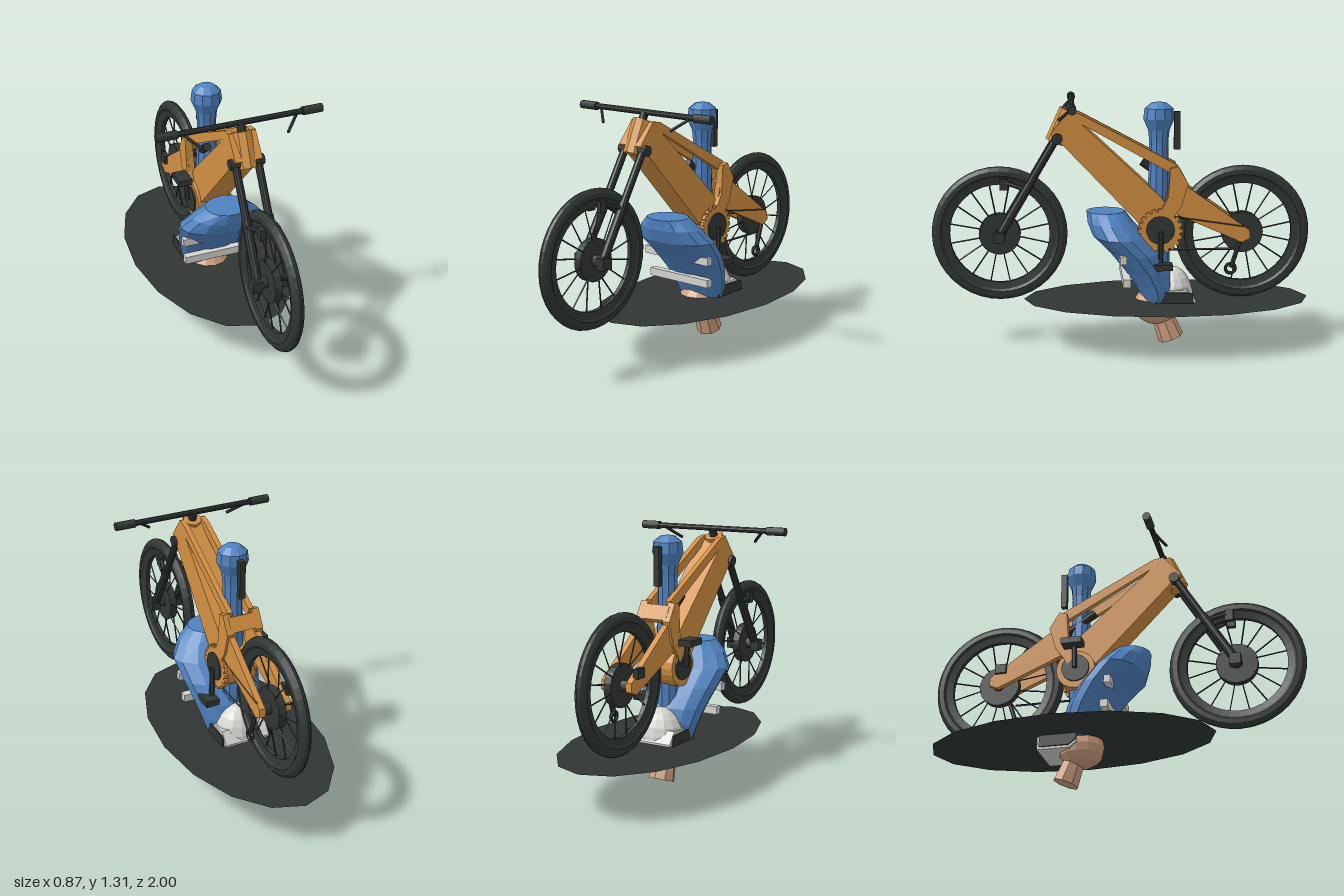
import * as THREE from 'three';

const V = (x, y, z) => new THREE.Vector3(x, y, z);
const paint = (name, color, side = THREE.FrontSide) => {
  const m = new THREE.MeshStandardMaterial({ color, side });
  m.name = name;
  return m;
};

export function createModel() {
  const root = new THREE.Group();
  const orange = paint('frame orange', 0xd18f42), blue = paint('suit blue', 0x4f82c0);
  const dark = paint('dark rubber', 0x303634), shade = paint('ground dark', 0x303634, THREE.DoubleSide);
  const white = paint('light grey', 0xd4d4d0), skin = paint('skin', 0xcb9c7d);

  // Faceted mesh
  const add = (name, geo, mat, parent = root) => {
    const g = geo.index ? geo.toNonIndexed() : geo;
    g.computeVertexNormals();
    const m = new THREE.Mesh(g, mat);
    m.name = name;
    parent.add(m);
    return m;
  };
  const box = (name, w, h, d, p, mat, rx = 0, parent = root) => {
    const m = add(name, new THREE.BoxGeometry(w, h, d), mat, parent);
    m.position.copy(p);
    m.rotation.x = rx;
    return m;
  };
  // Cylinder between two points
  const rod = (name, a, b, r0, mat, seg = 10, r1 = r0, parent = root) => {
    const m = add(name, new THREE.CylinderGeometry(r1, r0, a.distanceTo(b), seg), mat, parent);
    m.position.copy(a).lerp(b, 0.5);
    m.quaternion.setFromUnitVectors(V(0, 1, 0), b.clone().sub(a).normalize());
    return m;
  };
  // Side outline of (z, y) points, extruded across x
  const plate = (name, pts, x, w, mat) => {
    const shape = new THREE.Shape(pts.map(p => new THREE.Vector2(p[0], p[1])));
    const g = new THREE.ExtrudeGeometry(shape, { depth: w, bevelEnabled: false });
    g.translate(0, 0, -w / 2).rotateY(-Math.PI / 2).translate(x, 0, 0);
    return add(name, g, mat);
  };
  // Closed loft from rows of [y, half width, back z, front z]
  const loft = (name, rows, n, mat) => {
    const pos = [], idx = [];
    for (const [y, rx, z0, z1] of rows)
      for (let j = 0; j < n; j++) {
        const t = (j / n) * Math.PI * 2;
        pos.push(rx * Math.cos(t), y, (z0 + z1) / 2 + (z1 - z0) / 2 * Math.sin(t));
      }
    const top = (rows.length - 1) * n;
    for (let j = 0; j < n; j++) {
      const k = (j + 1) % n;
      for (let i = 0; i < top; i += n) idx.push(i + j, i + n + j, i + k, i + k, i + n + j, i + n + k);
      if (j > 0 && j < n - 1) idx.push(0, j, k, top, top + k, top + j);
    }
    const g = new THREE.BufferGeometry();
    g.setAttribute('position', new THREE.Float32BufferAttribute(pos, 3));
    g.setIndex(idx);
    return add(name, g, mat);
  };

  // Ground disc
  const disc = add('groundDisc', new THREE.CircleGeometry(1, 16).rotateX(-Math.PI / 2), shade);
  disc.scale.set(0.41, 1, 0.76);
  disc.position.set(0, 0.24, -0.24);

  // Wheels: tyre with deep rim, hub and spokes
  const section = [[0.262, -0.012], [0.298, -0.02], [0.31, -0.029], [0.335, -0.027], [0.352, -0.014], [0.357, 0],
    [0.352, 0.014], [0.335, 0.027], [0.31, 0.029], [0.298, 0.02], [0.262, 0.012], [0.262, -0.012]];
  for (const [name, z] of [['frontWheel', 0.642], ['rearWheel', -0.642]]) {
    const w = new THREE.Group();
    w.name = name;
    w.position.set(0, 0.597, z);
    root.add(w);
    const tyre = new THREE.LatheGeometry(section.map(p => new THREE.Vector2(p[0], p[1])), 40);
    add('tyre', tyre.rotateZ(Math.PI / 2), dark, w);
    rod('hubFlange', V(-0.02, 0, 0), V(0.02, 0, 0), 0.11, dark, 24, 0.11, w);
    rod('axle', V(-0.085, 0, 0), V(0.085, 0, 0), 0.03, dark, 12, 0.03, w);
    for (let i = 0; i < 16; i++) {
      const a = i * Math.PI / 8 + 0.2, s = i % 2 ? 1 : -1;
      rod('spoke', V(s * 0.018, 0.1 * Math.sin(a), 0.1 * Math.cos(a)),
        V(0, 0.27 * Math.sin(a), 0.27 * Math.cos(a)), 0.004, dark, 4, 0.004, w);
    }
  }

  // Fork, handlebar and rider controls
  rod('forkCrown', V(-0.09, 1.105, 0.335), V(0.09, 1.105, 0.335), 0.028, dark, 12);
  rod('stem', V(0, 1.1, 0.335), V(0, 1.28, 0.26), 0.022, dark);
  rod('handlebar', V(-0.43, 1.285, 0.26), V(0.43, 1.285, 0.26), 0.015, dark);
  for (const s of [-1, 1]) {
    rod('forkUpper', V(s * 0.06, 1.12, 0.33), V(s * 0.06, 0.85, 0.49), 0.02, dark);
    rod('forkLower', V(s * 0.06, 0.87, 0.478), V(s * 0.065, 0.595, 0.642), 0.024, dark);
    box('dropout', 0.05, 0.06, 0.06, V(s * 0.075, 0.59, 0.642), dark);
    rod('brakeArm', V(s * 0.065, 0.84, 0.5), V(s * 0.04, 0.875, 0.61), 0.012, dark, 6);
    box('brakePad', 0.025, 0.06, 0.045, V(s * 0.04, 0.865, 0.615), dark);
    rod('grip', V(s * 0.33, 1.285, 0.26), V(s * 0.437, 1.285, 0.26), 0.022, dark, 12);
    rod('brakeLever', V(s * 0.295, 1.275, 0.265), V(s * 0.225, 1.218, 0.325), 0.008, dark, 6);
  }

  // Frame
  plate('mainBeam', [[0.37, 1.13], [0.275, 1.245], [0.23, 1.2], [-0.2, 0.8], [-0.26, 0.72], [-0.24, 0.56],
    [-0.15, 0.55], [-0.11, 0.635], [0.315, 1.08]], 0, 0.144, orange);
  rod('headTube', V(0, 1.08, 0.35), V(0, 1.245, 0.275), 0.05, orange, 8);
  for (const s of [-1, 1]) {
    plate('topRail', [[0.28, 1.245], [0.22, 1.235], [-0.29, 0.965], [-0.28, 0.92], [-0.24, 0.93], [0.21, 1.18]],
      s * 0.058, 0.028, orange);
    plate('rockerLink', [[-0.25, 0.95], [-0.29, 0.96], [-0.345, 0.87], [-0.31, 0.75], [-0.24, 0.65], [-0.19, 0.7], [-0.24, 0.8]],
      s * 0.08, 0.04, orange);
    plate('swingArm', [[-0.25, 0.88], [-0.33, 0.86], [-0.67, 0.62], [-0.675, 0.575], [-0.63, 0.555], [-0.22, 0.735]],
      s * 0.072, 0.032, orange);
  }
  box('frameBridge', 0.15, 0.08, 0.05, V(0, 0.9, -0.3), orange, 0.5);
  rod('shock', V(-0.03, 0.97, -0.11), V(-0.03, 0.85, -0.28), 0.022, dark);

  // Chainring guard with teeth, cranks, pedals, chain and derailleur
  rod('crankHousing', V(-0.09, 0.62, -0.2), V(0.1, 0.62, -0.2), 0.105, orange, 20);
  for (let i = 0; i < 20; i++) {
    const a = i * Math.PI / 10;
    box('tooth', 0.02, 0.022, 0.022, V(0.09, 0.62 + 0.107 * Math.sin(a), -0.2 + 0.107 * Math.cos(a)), orange, -a);
  }
  rod('chainring', V(-0.1, 0.625, -0.2), V(0.108, 0.625, -0.2), 0.075, dark, 20);
  for (const s of [-1, 1]) {
    const y = s > 0 ? 0.44 : 0.752;
    rod('crankArm', V(s * 0.112, 0.62, -0.2), V(s * 0.118, y, -0.2), 0.014, dark, 6);
    box('pedal', 0.075, 0.033, 0.11, V(s * 0.138, y, -0.205), dark);
  }
  rod('chainLower', V(0.085, 0.52, -0.24), V(0.085, 0.52, -0.58), 0.006, dark, 4);
  rod('chainUpper', V(0.085, 0.7, -0.24), V(0.085, 0.64, -0.64), 0.006, dark, 4);
  rod('derailleurArm', V(0.085, 0.56, -0.62), V(0.085, 0.42, -0.575), 0.012, dark, 6);
  const pulley = add('derailleurPulley', new THREE.TorusGeometry(0.026, 0.009, 6, 14).rotateY(Math.PI / 2), dark);
  pulley.position.set(0.085, 0.415, -0.572);
  box('rearBrake', 0.03, 0.05, 0.06, V(-0.09, 0.66, -0.61), dark);

  // Torso with its two crossbars
  loft('torso', [[0.235, 0.14, -0.27, -0.12], [0.32, 0.163, -0.28, -0.07], [0.4, 0.185, -0.26, -0.015],
    [0.5, 0.215, -0.2, 0.065], [0.59, 0.233, -0.12, 0.155], [0.66, 0.18, -0.06, 0.182], [0.715, 0.115, -0.02, 0.187]], 14, blue);
  box('lowerCrossbar', 0.4, 0.042, 0.04, V(0, 0.364, -0.02), white);
  box('upperCrossbar', 0.435, 0.042, 0.036, V(0, 0.49, 0), white);

  // Raised limb and the slim bar behind it
  const limb = [[0, 0.4], [0.06, 0.4], [0.062, 0.7], [0.052, 0.95], [0.05, 1.08], [0.056, 1.14], [0.082, 1.2],
    [0.075, 1.255], [0.04, 1.283], [0, 1.29]].map(p => new THREE.Vector2(p[0], p[1]));
  add('raisedLimb', new THREE.LatheGeometry(limb, 10), blue).position.z = -0.196;
  box('slimBar', 0.032, 0.2, 0.032, V(0, 1.138, -0.292), dark);

  // Head, neck and helmet
  const head = add('head', new THREE.SphereGeometry(1, 12, 8), skin);
  head.scale.set(0.117, 0.105, 0.122);
  head.position.set(0, 0.2, -0.185);
  rod('neck', V(0, 0.018, -0.267), V(0, 0.13, -0.225), 0.07, skin, 8, 0.058);
  const dome = add('helmetDome', new THREE.SphereGeometry(1, 14, 6, 0, Math.PI * 2, 0, Math.PI / 2), white);
  dome.scale.set(0.132, 0.18, 0.115);
  dome.position.set(0, 0.23, -0.272);
  plate('helmetBase', [[-0.18, 0.2], [-0.2, 0.3], [-0.34, 0.31], [-0.387, 0.25], [-0.39, 0.17], [-0.22, 0.17]], 0, 0.25, white);
  for (const s of [-1, 1])
    plate('helmetSide', [[-0.17, 0.27], [-0.2, 0.3], [-0.37, 0.295], [-0.375, 0.18], [-0.22, 0.18], [-0.18, 0.21]],
      s * 0.136, 0.009, dark);
  return root;
}
